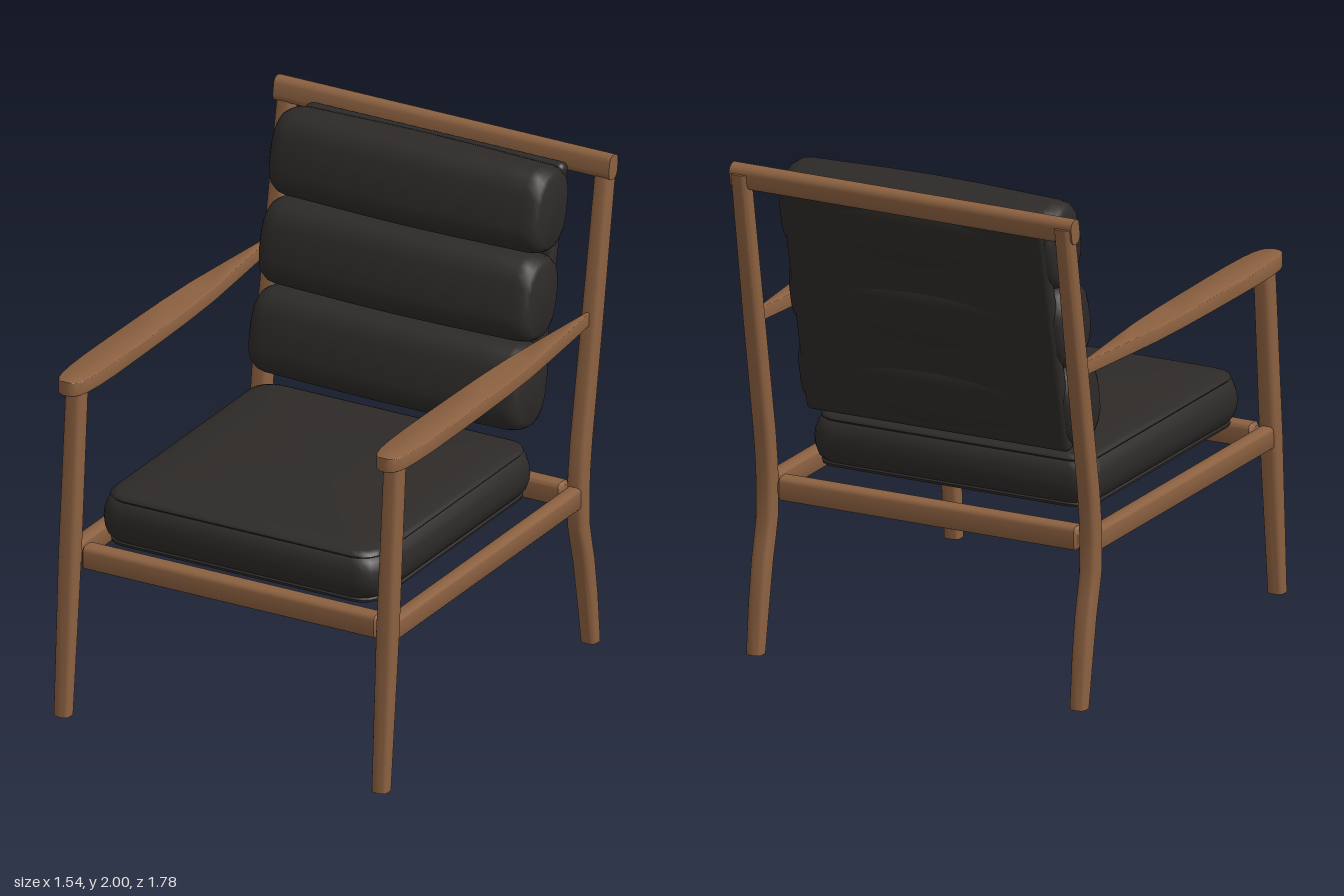
import * as THREE from 'three';
import { toCreasedNormals } from 'three/addons/utils/BufferGeometryUtils.js';
import { RoundedBoxGeometry } from 'three/addons/geometries/RoundedBoxGeometry.js';

const wood = new THREE.MeshStandardMaterial({ color: 0x8b6040 });
const leather = new THREE.MeshStandardMaterial({ color: 0x2d2a28 });

// Rounded rectangle outline with half sizes a, b and corner radius r
function outline(a, b, r, steps = 4) {
  const pts = [];
  const rad = Math.min(r, a, b);
  for (let c = 0; c < 4; c++) {
    const su = c === 0 || c === 3 ? 1 : -1;
    const sv = c < 2 ? 1 : -1;
    for (let i = 0; i <= steps; i++) {
      const t = (c + i / steps) * Math.PI / 2;
      pts.push([su * (a - rad) + rad * Math.cos(t), sv * (b - rad) + rad * Math.sin(t)]);
    }
  }
  return pts;
}

// Where section coordinates (u, v) at station t land, for each axis
const axes = {
  x: (t, u, v) => [t, v, u],
  y: (t, u, v) => [u, t, v],
  z: (t, u, v) => [u, v, t],
};

// Closed solid through rounded sections [t, a, b, r, centreU, centreV]
function loft(name, material, axis, sections, crease = 0.7) {
  const pos = [], idx = [];
  const place = axes[axis];
  let n = 0;
  for (const [t, a, b, r, cu = 0, cv = 0] of sections) {
    const ring = outline(a, b, r);
    n = ring.length;
    for (const [u, v] of ring) pos.push(...place(t, cu + u, cv + v));
  }
  const last = sections.length - 1;
  for (let s = 0; s < last; s++) {
    for (let i = 0; i < n; i++) {
      const p = s * n + i, q = s * n + (i + 1) % n;
      idx.push(p, q, q + n, p, q + n, p + n);
    }
  }
  // End caps
  for (const [s, flip] of [[0, true], [last, false]]) {
    const [t, , , , cu = 0, cv = 0] = sections[s];
    const centre = pos.length / 3;
    pos.push(...place(t, cu, cv));
    for (let i = 0; i < n; i++) {
      const p = s * n + i, q = s * n + (i + 1) % n;
      idx.push(centre, flip ? q : p, flip ? p : q);
    }
  }
  // Turn the faces outwards whichever way the sections run
  const at = (i) => new THREE.Vector3().fromArray(pos, i * 3);
  let volume = 0;
  for (let i = 0; i < idx.length; i += 3) {
    volume += at(idx[i]).dot(at(idx[i + 1]).cross(at(idx[i + 2])));
  }
  if (volume < 0) idx.reverse();
  const geo = new THREE.BufferGeometry();
  geo.setAttribute('position', new THREE.Float32BufferAttribute(pos, 3));
  geo.setIndex(idx);
  const mesh = new THREE.Mesh(toCreasedNormals(geo, crease), material);
  mesh.name = name;
  return mesh;
}

// Straight rail across the chair with softened ends
function crossRail(name, half, y, z, h, d, r) {
  const e = 0.012;
  return loft(name, wood, 'x', [
    [-half, d - e, h - e, r, z, y], [-half + e, d, h, r, z, y],
    [half - e, d, h, r, z, y], [half, d - e, h - e, r, z, y],
  ]);
}

// Legs, armrest and rail of one side
function sideFrame(name, x) {
  const side = new THREE.Group();
  side.name = name;

  side.add(loft('frontLeg', wood, 'y', [
    [0, 0.033, 0.033, 0.022, 0, 0.86],
    [0.65, 0.039, 0.038, 0.022, 0, 0.81],
    [1.33, 0.037, 0.038, 0.022, 0, 0.757],
  ]));

  // Back leg bends at the seat and leans back as the upright
  const backPath = [
    [0, -0.733, 0.033], [0.2, -0.707, 0.036], [0.36, -0.681, 0.037], [0.44, -0.661, 0.038],
    [0.52, -0.643, 0.039], [0.65, -0.64, 0.039], [0.75, -0.647, 0.039], [0.87, -0.662, 0.039],
    [1.35, -0.747, 0.037], [1.965, -0.852, 0.035],
  ];
  side.add(loft('backLeg', wood, 'y',
    backPath.map(([y, z, h]) => [y, Math.min(h, 0.037), h, 0.022, 0, z])));

  side.add(loft('sideRail', wood, 'z', [
    [0.8, 0.03, 0.046, 0.018, 0, 0.646], [-0.63, 0.03, 0.046, 0.018, 0, 0.646],
  ]));

  // Paddle-shaped armrest, tapering to the back
  const armWidths = [
    [0.842, 0.02], [0.832, 0.037], [0.81, 0.05], [0.77, 0.06], [0.7, 0.067], [0.58, 0.071],
    [0.4, 0.07], [0.2, 0.068], [0, 0.064], [-0.2, 0.055], [-0.4, 0.037], [-0.58, 0.02], [-0.71, 0.007],
  ];
  side.add(loft('armrest', wood, 'z',
    armWidths.map(([z, w]) => [z, w, 0.029, 0.006, 0, 1.354])));

  side.position.x = x;
  return side;
}

function seatCushion() {
  // Half width, height: boxed sides with a seam near each edge and a crowned top
  const profile = [
    [0.57, 0.7], [0.592, 0.702], [0.594, 0.712], [0.588, 0.718], [0.602, 0.735], [0.612, 0.77],
    [0.615, 0.8], [0.612, 0.835], [0.602, 0.872], [0.59, 0.884], [0.596, 0.891], [0.593, 0.9],
    [0.575, 0.908], [0.5, 0.918], [0.38, 0.927], [0.22, 0.933], [0.06, 0.935],
  ];
  return loft('seatCushion', leather, 'y',
    profile.map(([a, y]) => [y, a, a + 0.015, a * 0.15, 0, 0.14]), 0.9);
}

function backCushion() {
  const back = new THREE.Group();
  back.name = 'backCushion';

  const panel = new THREE.Mesh(new RoundedBoxGeometry(1.14, 1.02, 0.06, 4, 0.025), leather);
  panel.name = 'backPanel';
  panel.position.set(0, 0.01, -0.107);
  back.add(panel);

  // Three padded rolls, fullest in the middle
  const ends = [[0.594, 0.104, 0.138], [0.585, 0.118, 0.153], [0.565, 0.127, 0.165], [0.53, 0.132, 0.171]];
  const middle = [[0.4, 0.135, 0.173], [0.2, 0.143, 0.175], [0, 0.146, 0.176]];
  const half = [...ends, ...middle];
  const stations = [...half, ...half.slice(0, -1).reverse().map(([x, d, h]) => [-x, d, h])];
  for (let i = -1; i <= 1; i++) {
    const roll = loft('backRoll', leather, 'x',
      stations.map(([x, d, h]) => [x, d, h, 0.105, 0, 0]), 0.9);
    roll.position.y = i * 0.349;
    back.add(roll);
  }

  back.position.set(0, 1.47, -0.555);
  back.rotation.x = -0.225;
  return back;
}

export function createModel() {
  const chair = new THREE.Group();
  chair.name = 'armchair';

  chair.add(sideFrame('leftFrame', 0.7), sideFrame('rightFrame', -0.7));
  chair.add(crossRail('frontRail', 0.652, 0.647, 0.778, 0.048, 0.037, 0.02));
  chair.add(crossRail('backRail', 0.65, 0.647, -0.627, 0.048, 0.036, 0.02));

  // Crest rail joins the tops of the uprights
  const crest = loft('crestRail', wood, 'x', [
    [-0.74, 0.033, 0.05, 0.028], [0.74, 0.033, 0.05, 0.028],
  ]);
  crest.position.set(0, 1.95, -0.838);
  crest.rotation.x = -0.165;
  chair.add(crest);

  chair.add(seatCushion(), backCushion());
  return chair;
}
